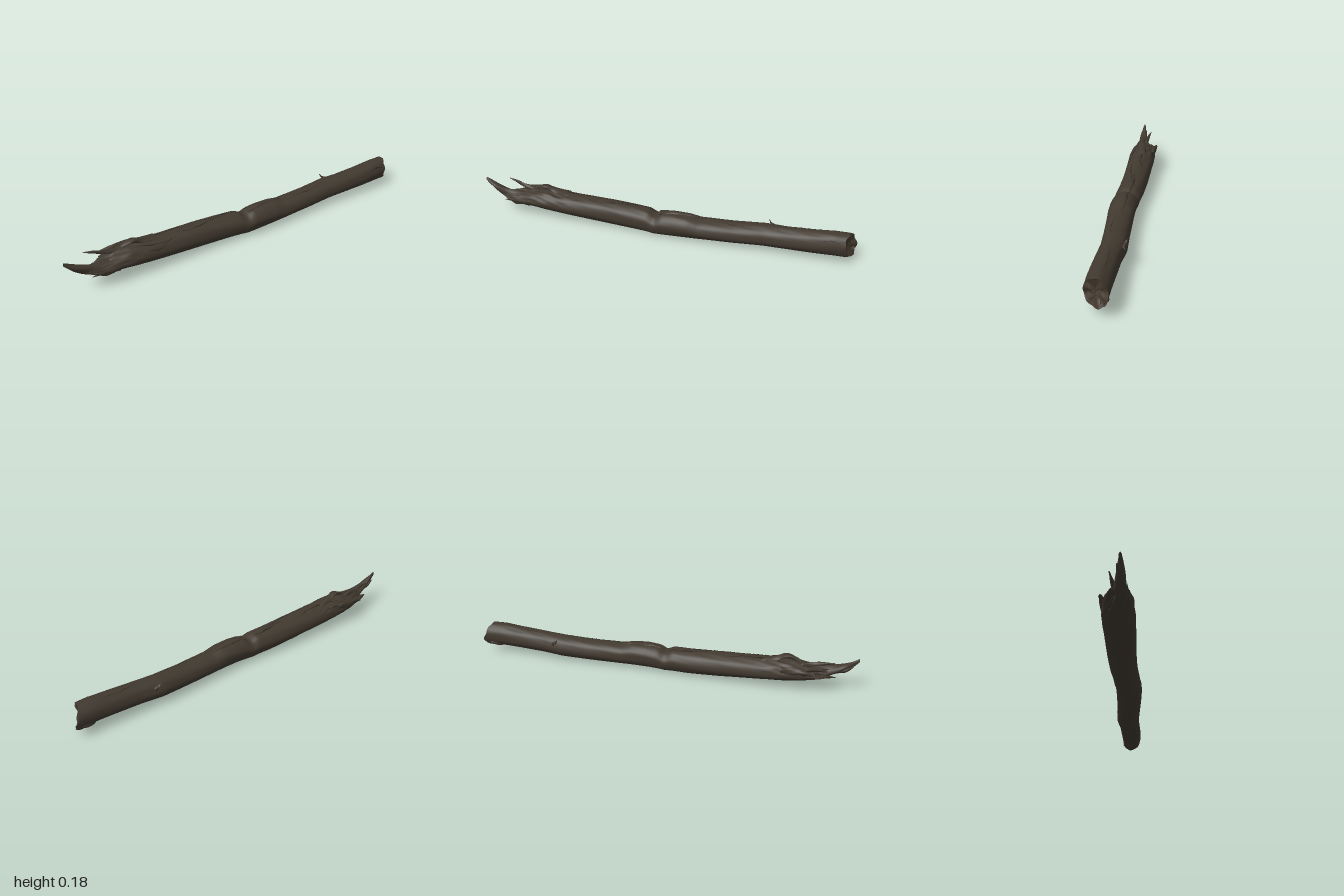
import * as THREE from 'three';

const TAU = Math.PI * 2;
const SIDES = 48;

// trunk outline at each station: x, bottom, top, back z, front z
const TRUNK = [
  [-0.84, 0.075, 0.115, -0.030, 0.045], [-0.80, 0.066, 0.130, -0.055, 0.052],
  [-0.75, 0.060, 0.142, -0.075, 0.058], [-0.68, 0.050, 0.156, -0.086, 0.064],
  [-0.60, 0.042, 0.156, -0.086, 0.066], [-0.50, 0.034, 0.149, -0.082, 0.066],
  [-0.30, 0.020, 0.146, -0.076, 0.066], [-0.15, 0.012, 0.140, -0.068, 0.070],
  [-0.06, 0.009, 0.136, -0.058, 0.077], [-0.02, 0.008, 0.116, -0.055, 0.082],
  [0.02, 0.009, 0.136, -0.052, 0.085], [0.08, 0.012, 0.142, -0.050, 0.087],
  [0.16, 0.015, 0.140, -0.050, 0.086], [0.22, 0.017, 0.127, -0.050, 0.083],
  [0.40, 0.020, 0.130, -0.053, 0.074], [0.55, 0.026, 0.140, -0.059, 0.067],
  [0.66, 0.032, 0.145, -0.046, 0.072], [0.80, 0.037, 0.155, -0.041, 0.077],
  [0.90, 0.040, 0.165, -0.038, 0.076], [0.97, 0.040, 0.165, -0.036, 0.075],
];

const smooth = (a, b, x) => THREE.MathUtils.smoothstep(x, a, b);

function sample(rows, x) {
  let i = 0;
  while (i < rows.length - 2 && x > rows[i + 1][0]) i++;
  const t = (x - rows[i][0]) / (rows[i + 1][0] - rows[i][0]);
  return rows[i].map((v, k) => THREE.MathUtils.lerp(v, rows[i + 1][k], t));
}

// point on the weathered trunk; a = 0 faces front, a quarter turn is up
function trunkPoint(x, a, lift = 0) {
  const [, y0, y1, z0, z1] = sample(TRUNK, x);
  const up = Math.max(0, Math.sin(a));
  const broken = 1 - smooth(-0.72, -0.45, x);
  let r = 1 + 0.014 * Math.sin(3 * a + 5 * x) + 0.012 * Math.sin(7 * a + 4 * Math.sin(3 * x));
  r += 0.012 * up * Math.sin(11 * a + 23 * x) * Math.sin(17 * x);
  r += broken * 0.07 * Math.sin(9 * a + 8 * x) * (0.3 + 0.7 * up) * Math.sin(47 * x + 3 * a);
  const breakShift = 0.035 * Math.sin(5 * a + 1) + 0.025 * Math.sin(13 * a);
  const cutShift = -0.018 * Math.cos(a) + 0.022 * Math.max(0, Math.cos(a - 4.0))
    + 0.005 * Math.sin(6 * a);
  const px = x + breakShift * (1 - smooth(-0.84, -0.72, x)) + cutShift * smooth(0.88, 0.97, x);
  return new THREE.Vector3(
    px,
    (y0 + y1) / 2 + ((y1 - y0) / 2 * r + lift) * Math.sin(a),
    (z0 + z1) / 2 + ((z1 - z0) / 2 * r + lift) * Math.cos(a));
}

// skin a list of closed rings, all with the same number of points
function skin(rings) {
  const n = rings[0].length, pos = [], index = [];
  rings.forEach(ring => ring.forEach(p => pos.push(p.x, p.y, p.z)));
  for (let i = 0; i < rings.length - 1; i++) {
    for (let j = 0; j < n; j++) {
      const k = (j + 1) % n, a = i * n, b = a + n;
      index.push(a + j, b + j, a + k, a + k, b + j, b + k);
    }
  }
  const g = new THREE.BufferGeometry();
  g.setAttribute('position', new THREE.Float32BufferAttribute(pos, 3));
  g.setIndex(index);
  g.computeVertexNormals();
  return g;
}

const trunkRing = x => Array.from({ length: SIDES }, (_, j) => trunkPoint(x, j / SIDES * TAU));

// shrink an end ring towards its centre, denting it along x
function capRings(ring, dent) {
  const c = ring.reduce((s, p) => s.add(p), new THREE.Vector3()).divideScalar(ring.length);
  return [1, 0.85, 0.6, 0.3, 0].map(s => ring.map((p, j) => {
    const q = c.clone().lerp(p, s);
    q.x += dent * (1 - s * s) + 0.004 * Math.sin(j * 0.8 + s * 9) * s * (1 - s) * 4;
    return q;
  }));
}

// tapering splinter through rows of x, y, z, half height, half depth
function splinter(rows) {
  const curve = new THREE.CatmullRomCurve3(rows.map(r => new THREE.Vector3(r[0], r[1], r[2])));
  const steps = 20, rings = [];
  for (let i = 0; i <= steps; i++) {
    const t = i / steps, f = t * (rows.length - 1);
    const k = Math.min(Math.floor(f), rows.length - 2);
    const h = THREE.MathUtils.lerp(rows[k][3], rows[k + 1][3], f - k);
    const d = THREE.MathUtils.lerp(rows[k][4], rows[k + 1][4], f - k);
    const c = curve.getPoint(t);
    rings.push(Array.from({ length: 12 }, (_, j) => {
      const a = j / 12 * TAU, r = 1 + 0.16 * Math.sin(3 * a + 9 * t);
      return new THREE.Vector3(c.x, c.y + h * r * Math.sin(a), c.z + d * r * Math.cos(a));
    }));
  }
  return skin(rings);
}

// narrow dark crack lying on the trunk
function crack(x0, x1, angle, width, wander) {
  const pos = [], index = [], n = 24;
  for (let i = 0; i <= n; i++) {
    const t = i / n, x = x0 + (x1 - x0) * t;
    const a = angle + wander * Math.sin(t * 5 + x0 * 7) + 0.03 * Math.sin(t * 23);
    const w = width * Math.sin(Math.PI * t) * (0.7 + 0.3 * Math.sin(t * 17));
    for (const s of [-1, 0, 1]) pos.push(...trunkPoint(x, a + s * w, 0.0015).toArray());
    if (i < n) for (const s of [0, 1]) {
      const p = i * 3 + s;
      index.push(p, p + 3, p + 1, p + 1, p + 3, p + 4);
    }
  }
  const g = new THREE.BufferGeometry();
  g.setAttribute('position', new THREE.Float32BufferAttribute(pos, 3));
  g.setIndex(index);
  g.computeVertexNormals();
  return g;
}

export function createModel() {
  const group = new THREE.Group();
  group.name = 'driftwoodLog';
  const material = (name, color, side = THREE.FrontSide) => {
    const m = new THREE.MeshStandardMaterial({ color, side });
    m.name = name;
    return m;
  };
  const bark = material('weatheredWood', 0x423a30, THREE.DoubleSide);
  const heart = material('exposedWood', 0x43382d, THREE.DoubleSide);
  const dark = material('crackShadow', 0x2a241d, THREE.DoubleSide);
  const add = (name, geometry, mat) => {
    const mesh = new THREE.Mesh(geometry, mat);
    mesh.name = name;
    group.add(mesh);
  };

  // long curved trunk
  const rings = [];
  for (let i = 0; i <= 180; i++) rings.push(trunkRing(-0.84 + 1.81 * i / 180));
  add('trunk', skin(rings), bark);

  // cut end and broken end
  add('cutEnd', skin(capRings(rings[180], -0.012)), heart);
  add('brokenEnd', skin(capRings(rings[0], 0.04).reverse()), heart);

  // splintered tips at the broken end and loose pieces along the top
  const pieces = {
    mainTip: [[-0.68, 0.092, 0.005, 0.035, 0.05], [-0.80, 0.098, 0.012, 0.032, 0.042],
      [-0.88, 0.113, 0.008, 0.024, 0.026], [-0.95, 0.144, 0.008, 0.020, 0.016],
      [-1.0, 0.181, 0.008, 0.009, 0.006]],
    lowerTip: [[-0.80, 0.098, 0.02, 0.02, 0.02], [-0.88, 0.106, 0.018, 0.014, 0.016],
      [-0.94, 0.124, 0.0, 0.012, 0.011], [-0.975, 0.150, -0.006, 0.003, 0.003]],
    sideTip: [[-0.74, 0.088, 0.03, 0.025, 0.02], [-0.82, 0.085, 0.035, 0.018, 0.015],
      [-0.88, 0.097, 0.034, 0.003, 0.003]],
    upperTwig: [[-0.72, 0.138, -0.025, 0.014, 0.014], [-0.78, 0.151, -0.025, 0.011, 0.010],
      [-0.83, 0.164, -0.033, 0.008, 0.008], [-0.885, 0.176, -0.042, 0.002, 0.002]],
    backSplinter: [[-0.62, 0.12, -0.068, 0.02, 0.018], [-0.72, 0.125, -0.078, 0.016, 0.013],
      [-0.79, 0.118, -0.084, 0.006, 0.008]],
    backHook: [[-0.73, 0.11, -0.07, 0.014, 0.012], [-0.78, 0.115, -0.062, 0.008, 0.008],
      [-0.81, 0.12, -0.05, 0.002, 0.003]],
    raisedFlake: [[-0.52, 0.140, -0.015, 0.012, 0.03], [-0.60, 0.157, -0.012, 0.012, 0.024],
      [-0.65, 0.173, -0.008, 0.011, 0.018], [-0.71, 0.160, -0.012, 0.007, 0.012]],
    topRidge: [[0.0, 0.128, 0.015, 0.005, 0.02], [0.06, 0.139, 0.015, 0.006, 0.018],
      [0.17, 0.135, 0.01, 0.006, 0.012], [0.23, 0.124, 0.01, 0.002, 0.004]],
    twigStub: [[0.60, 0.105, -0.042, 0.012, 0.012], [0.575, 0.122, -0.052, 0.007, 0.007],
      [0.565, 0.138, -0.06, 0.003, 0.003]],
    lowerLip: [[0.91, 0.066, -0.012, 0.016, 0.016], [0.96, 0.066, -0.014, 0.018, 0.018],
      [1.0, 0.066, -0.014, 0.010, 0.010]],
  };
  for (const [name, rows] of Object.entries(pieces)) add(name, splinter(rows), bark);

  // long weathering cracks: start, end, angle, half width, wander
  const cracks = [
    [-0.72, -0.42, 1.0, 0.05, 0.15], [-0.66, -0.35, 1.9, 0.06, 0.2],
    [-0.60, -0.50, 0.5, 0.05, 0.1], [-0.42, -0.12, 1.35, 0.05, 0.2],
    [-0.25, 0.0, 1.75, 0.07, 0.12], [0.0, 0.24, 1.75, 0.06, 0.15],
    [0.28, 0.52, 1.3, 0.035, 0.1], [0.62, 0.86, 1.8, 0.03, 0.15],
    [0.84, 0.95, 0.5, 0.07, 0.1], [-0.70, -0.50, 2.6, 0.05, 0.15],
  ];
  cracks.forEach((c, i) => add('crack' + (i + 1), crack(...c), dark));
  return group;
}
